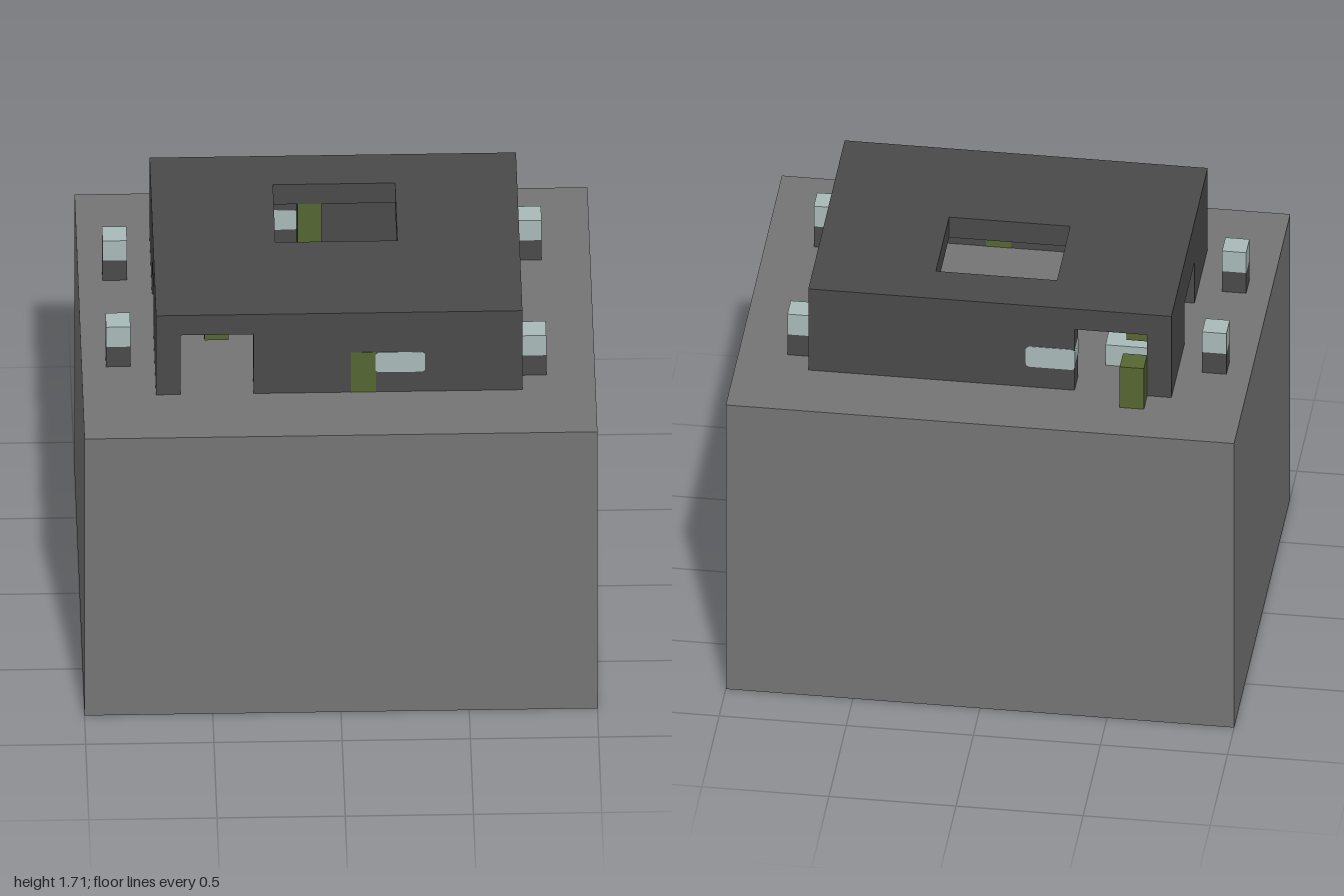
import * as THREE from 'three';

// One block of the layout; y is counted in blocks above the plinth top
const U = 2 / 21;
const BASE = 14;

const material = (name, color) => {
  const m = new THREE.MeshStandardMaterial({ color });
  m.name = name;
  return m;
};

export function createModel() {
  const model = new THREE.Group();
  model.name = 'ruinedHouse';
  const stone = material('stone grey', 0x747474);
  const dark = material('dark stone', 0x4a4a4a);
  const glass = material('pale glass', 0xa8bab8);
  const moss = material('moss green', 0x556632);

  const add = (name, geometry, mat) => {
    const mesh = new THREE.Mesh(geometry, mat);
    mesh.name = name;
    model.add(mesh);
    return mesh;
  };

  // Box given by its limits in blocks, with optional outward growth
  const box = (name, mat, [x0, x1], [y0, y1], [z0, z1], grow = 0) => {
    const size = (a, b) => (b - a) * U + 2 * grow;
    const mesh = add(name, new THREE.BoxGeometry(size(x0, x1), size(y0, y1), size(z0, z1)), mat);
    mesh.position.set((x0 + x1) / 2 * U, ((y0 + y1) / 2 + BASE) * U, (z0 + z1) / 2 * U);
    return mesh;
  };

  // Plinth
  box('plinth', stone, [-10.5, 10.5], [-BASE, 0], [-8.5, 8.5]);

  // Front and back walls, each with a full height doorway
  for (const [side, z] of [['front', [4.5, 5.5]], ['back', [-5.5, -4.5]]]) {
    box(side + 'WallCorner', dark, [-7.5, -6.5], [0, 3], z);
    box(side + 'Wall', dark, [-3.5, 7.5], [0, 3], z);
  }

  // Side walls, one with a doorway under a lintel
  box('leftWall', dark, [6.5, 7.5], [0, 3], [-4.5, 4.5]);
  box('rightWallFront', dark, [-7.5, -6.5], [0, 3], [1.5, 4.5]);
  box('rightWallBack', dark, [-7.5, -6.5], [0, 3], [-4.5, -1.5]);
  box('rightLintel', dark, [-7.5, -6.5], [2, 3], [-1.5, 1.5]);

  // Roof slab with an opening
  const rect = (Type, x0, x1, y0, y1) => new Type([[x0, y0], [x1, y0], [x1, y1], [x0, y1]]
    .map(([x, y]) => new THREE.Vector2(x * U, y * U)));
  const slab = rect(THREE.Shape, -7.5, 7.5, -5.5, 5.5);
  slab.holes.push(rect(THREE.Path, -2.5, 2.5, -0.5, 3.5));
  const roof = add('roof', new THREE.ExtrudeGeometry(slab, { depth: U, bevelEnabled: false }), dark);
  roof.rotation.x = -Math.PI / 2;
  roof.position.y = (BASE + 3) * U;

  // Rounded windows, a hair proud of the walls
  const pane = (name, x0, z0) => {
    const e = 0.002, w = 2 * U + 2 * e, h = U, r = 0.018;
    const s = new THREE.Shape();
    s.moveTo(r, 0).lineTo(w - r, 0).quadraticCurveTo(w, 0, w, r);
    s.lineTo(w, h - r).quadraticCurveTo(w, h, w - r, h);
    s.lineTo(r, h).quadraticCurveTo(0, h, 0, h - r);
    s.lineTo(0, r).quadraticCurveTo(0, 0, r, 0);
    const g = new THREE.ExtrudeGeometry(s, { depth: U + 2 * e, bevelEnabled: false, curveSegments: 4 });
    add(name, g, glass).position.set(x0 * U - e, (BASE + 1) * U, z0 * U - e);
  };
  pane('frontWindow', 1.5, 4.5);
  pane('backWindow', -3.5, -5.5);

  // Mossy blocks set in the walls
  box('frontWallMoss', moss, [0.5, 1.5], [0, 2], [4.5, 5.5], 0.001);
  box('leftWallMoss', moss, [6.5, 7.5], [0, 1], [-0.5, 0.5], 0.001);

  // Moss outside and inside the house
  box('outerMossPillar', moss, [-6.5, -5.5], [0, 2], [-6.5, -5.5]);
  box('innerMossPillar', moss, [-1.5, -0.5], [0, 3], [-4.5, -3.5]);
  box('floorMoss', moss, [-0.5, 0.5], [0, 1], [-0.5, 0.5]);
  box('hangingMossFront', moss, [-5.5, -4.5], [2, 3], [3.5, 4.5]);
  box('hangingMossBack', moss, [-6.5, -5.5], [2, 3], [-4.5, -3.5]);

  // Furnishings
  box('floorBlock', dark, [-2.5, -1.5], [0, 1], [-0.5, 0.5]);
  box('paleBench', glass, [-6.5, -4.5], [0, 1], [-3.5, -2.5]);

  // Lantern posts around the house
  for (const [x, z] of [[-9.5, -3.5], [-9.5, 2.5], [7.5, -4.5], [7.5, 3.5]]) {
    box('lanternPost', dark, [x, x + 1], [0, 1], [z, z + 1]);
    box('lantern', glass, [x, x + 1], [1, 2], [z, z + 1]);
  }
  return model;
}
